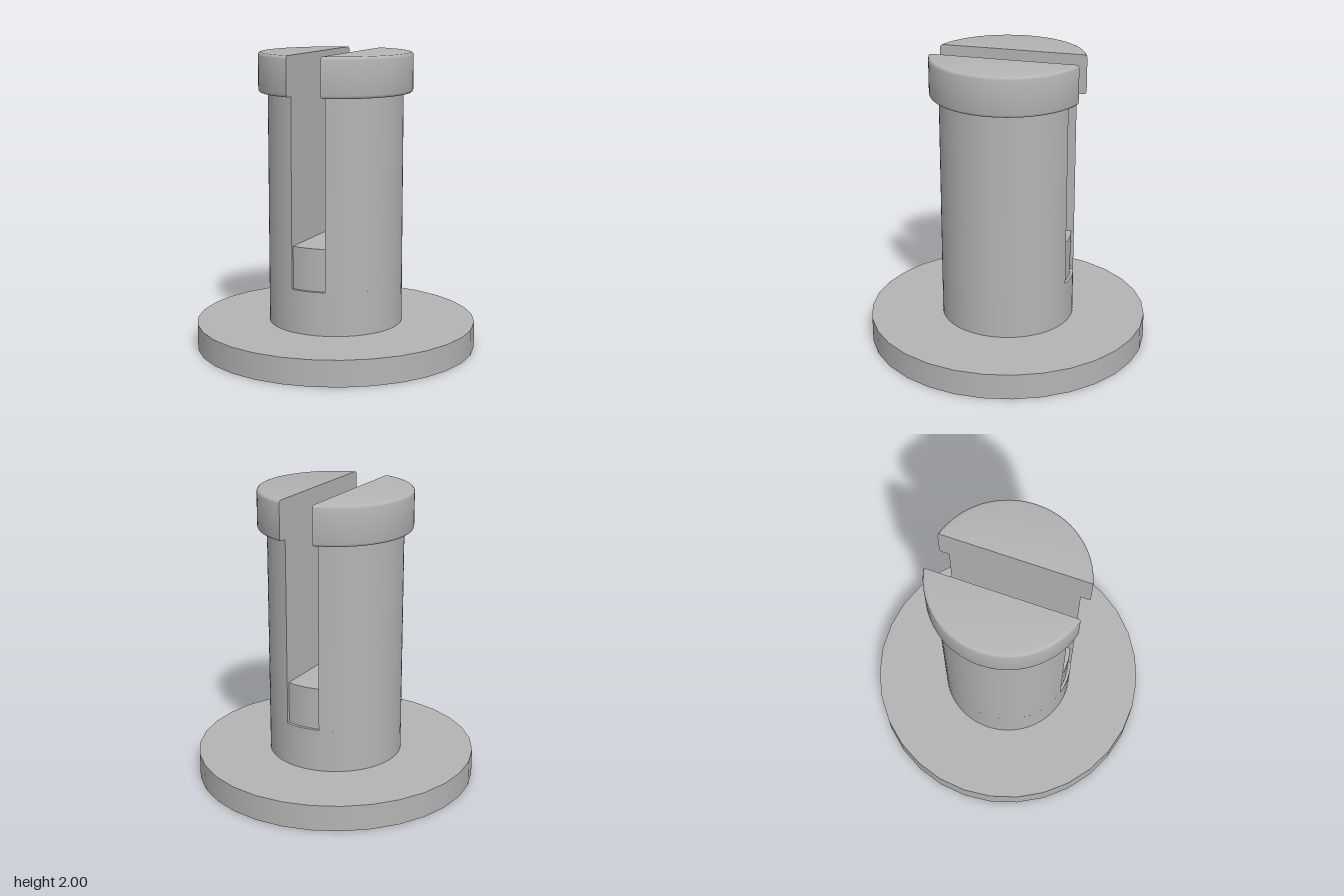
import * as THREE from 'three';
import { toCreasedNormals } from 'three/addons/utils/BufferGeometryUtils.js';

const SLOT = 0.12; // half width of the slot

// Lofts circle segments (the part of a disc beyond the slot) through [radius, y] rings.
function segmentLoft(rings, steps = 32) {
  const pos = [], index = [], n = steps + 1;
  for (const [r, y] of rings) {
    const a = Math.acos(SLOT / r);
    for (let j = 0; j < n; j++) {
      const t = -a + (2 * a * j) / steps;
      pos.push(r * Math.cos(t), y, r * Math.sin(t));
    }
  }
  // arc wall and flat slot wall
  for (let i = 0; i < rings.length - 1; i++) {
    for (let j = 0; j < n; j++) {
      const a = i * n + j, b = i * n + ((j + 1) % n);
      index.push(a, a + n, b, b, a + n, b + n);
    }
  }
  // bottom and top caps
  const top = (rings.length - 1) * n;
  for (let j = 1; j < n - 1; j++) {
    index.push(0, j, j + 1, top, top + j + 1, top + j);
  }
  const geo = new THREE.BufferGeometry();
  geo.setAttribute('position', new THREE.Float32BufferAttribute(pos, 3));
  geo.setIndex(index);
  return toCreasedNormals(geo, 0.6);
}

export function createModel() {
  const model = new THREE.Group();
  model.name = 'slottedPeg';
  const grey = new THREE.MeshStandardMaterial({ color: 0xb4b4b4 });
  grey.name = 'grey';

  const add = (name, geo, parent = model) => {
    const mesh = new THREE.Mesh(geo, grey);
    mesh.name = name;
    parent.add(mesh);
    return mesh;
  };
  const disc = (name, r, y0, y1, sides) => {
    const geo = new THREE.CylinderGeometry(r, r, y1 - y0, sides, 1, false, -Math.PI / 2);
    add(name, geo).position.y = (y0 + y1) / 2;
  };

  disc('base', 0.948, 0, 0.175, 31);
  disc('lowerStem', 0.452, 0.175, 0.468, 64);
  // core whose top is the slot floor, slightly recessed from the stem
  disc('slotCore', 0.432, 0.468, 0.753, 64);

  // head profile with rounded rims
  const fillet = 0.02, headR = 0.515, y0 = 1.735, y1 = 2;
  const headRings = [];
  for (let k = 0; k <= 6; k++) {
    const upper = k > 3 || k === 3;
    if (k <= 3) {
      const t = (k / 3) * Math.PI / 2;
      headRings.push([headR - fillet + fillet * Math.sin(t), y0 + fillet - fillet * Math.cos(t)]);
    }
    if (upper) {
      const t = ((k - 3) / 3) * Math.PI / 2;
      headRings.push([headR - fillet + fillet * Math.cos(t), y1 - fillet + fillet * Math.sin(t)]);
    }
  }
  const prongGeo = segmentLoft([[0.452, 0.468], [0.452, y0]]);
  const headGeo = segmentLoft(headRings);

  // two matching halves on either side of the slot
  for (const side of ['left', 'right']) {
    const half = new THREE.Group();
    half.name = side + 'Half';
    add(side + 'Prong', prongGeo, half);
    add(side + 'Head', headGeo, half);
    if (side === 'right') half.rotation.y = Math.PI;
    model.add(half);
  }
  return model;
}
